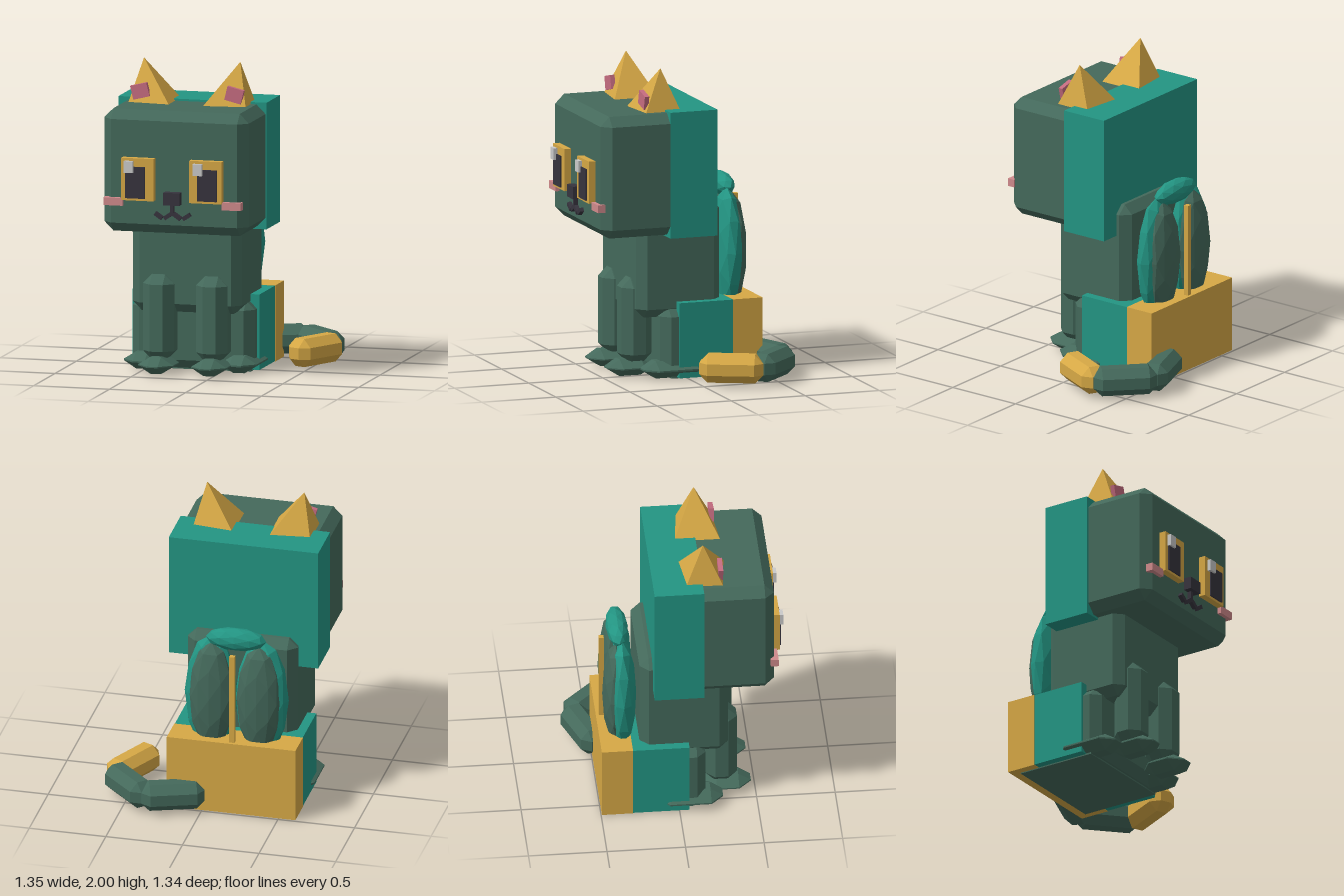
import * as THREE from 'three';
import { ConvexGeometry } from 'three/addons/geometries/ConvexGeometry.js';

const mat = (name, color) => {
  const m = new THREE.MeshStandardMaterial({ color });
  m.name = name;
  return m;
};

// Box with a single 45 degree bevel on every edge
function bevelBox(w, h, d, c, cy = c) {
  const pts = [];
  for (const sx of [-1, 1]) for (const sy of [-1, 1]) for (const sz of [-1, 1]) {
    const x = w / 2, y = h / 2, z = d / 2;
    pts.push(
      new THREE.Vector3(sx * x, sy * (y - cy), sz * (z - c)),
      new THREE.Vector3(sx * (x - c), sy * y, sz * (z - c)),
      new THREE.Vector3(sx * (x - c), sy * (y - cy), sz * z));
  }
  return new ConvexGeometry(pts);
}

export function createModel() {
  const root = new THREE.Group();
  root.name = 'cat';
  const green = mat('dark green fur', 0x44695b);
  const teal = mat('teal', 0x239583);
  const gold = mat('gold', 0xd6a845);
  const earPink = mat('ear pink', 0xc66c80);
  const blush = mat('blush', 0xd08a8c);
  const dark = mat('charcoal', 0x37343e);
  const light = mat('light grey', 0xcacaca);

  const add = (name, geo, material, x = 0, y = 0, z = 0) => {
    const m = new THREE.Mesh(geo, material);
    m.name = name;
    m.position.set(x, y, z);
    root.add(m);
    return m;
  };
  // Boxes given by their limits on each axis
  const box = (name, material, x0, x1, y0, y1, z0, z1, bevel = 0, bevelY = bevel) => {
    const s = [x1 - x0, y1 - y0, z1 - z0];
    const geo = bevel ? bevelBox(...s, bevel, bevelY) : new THREE.BoxGeometry(...s);
    return add(name, geo, material, (x0 + x1) / 2, (y0 + y1) / 2, (z0 + z1) / 2);
  };
  const blob = (name, material, x, y, z, rx, ry, rz) => {
    const geo = new THREE.IcosahedronGeometry(1, 1).scale(rx, ry, rz);
    geo.computeVertexNormals();
    return add(name, geo, material, x, y, z);
  };

  const cx = -0.193; // middle plane of the body

  // Head and the block behind it
  box('head', green, -0.664, 0.288, 0.945, 1.73, 0.0, 0.6, 0.06);
  box('headBack', teal, -0.68, 0.295, 0.93, 1.743, -0.166, 0.15);

  // Torso, hips and rear blocks
  box('torso', green, -0.553, 0.165, 0.395, 1.13, -0.246, 0.317, 0.057);
  box('hips', green, -0.595, 0.207, 0.012, 0.46, -0.25, 0.17, 0.057);
  box('belly', green, -0.56, 0.175, 0.002, 0.05, -0.435, 0.1);
  box('hipBlock', teal, -0.611, 0.224, 0.01, 0.495, -0.297, 0.063);
  box('rearBlock', gold, -0.613, 0.227, 0.008, 0.497, -0.496, -0.297);

  for (const s of [-1, 1]) {
    const side = s < 0 ? 'right' : 'left';
    const X = (d) => cx + s * d;
    const mirrored = (name, material, a, b, ...rest) =>
      box(side + name, material, Math.min(X(a), X(b)), Math.max(X(a), X(b)), ...rest);

    // Legs and paws
    mirrored('FrontLeg', green, 0.072, 0.278, 0.09, 0.64, 0.18, 0.383, 0.06);
    mirrored('FrontPaw', green, 0.06, 0.29, 0.01, 0.118, 0.17, 0.472, 0.08, 0.05);
    mirrored('BackPaw', green, 0.2, 0.437, 0.008, 0.118, -0.14, 0.282, 0.08, 0.05);

    // Ears: leaning pyramids with an inner patch
    const ear = [[0.317, 2.0, 0.157], [0.385, 1.72, 0.04], [0.108, 1.72, 0.008],
      [0.106, 1.72, 0.312], [0.388, 1.72, 0.282]];
    add(side + 'Ear', new ConvexGeometry(
      ear.map(([x, y, z]) => new THREE.Vector3(X(x), y, z))), gold);
    const patch = add(side + 'InnerEar', new THREE.BoxGeometry(0.11, 0.09, 0.03),
      earPink, X(0.31), 1.803, 0.267);
    patch.rotation.z = -s * 0.24;

    // Eyes and cheeks
    mirrored('EyeFrame', gold, 0.118, 0.33, 1.16, 1.432, 0.59, 0.645);
    mirrored('Pupil', dark, 0.172, 0.301, 1.175, 1.378, 0.646, 0.655);
    mirrored('Cheek', blush, 0.327, 0.452, 1.12, 1.17, 0.577, 0.627);
    const hx = s < 0 ? -0.47 : -0.016;
    box(side + 'EyeGlint', light, hx - 0.03, hx + 0.03, 1.34, 1.415, 0.646, 0.67);

    // Mouth strokes
    for (const [d, tilt] of [[0.03, -0.6], [0.092, 0.6]]) {
      const stroke = add(side + 'Mouth', new THREE.BoxGeometry(0.056, 0.026, 0.03),
        dark, X(d), 1.066, 0.612);
      stroke.rotation.z = s * tilt;
    }

    // Folded wings with a dark shell
    blob(side + 'Wing', teal, X(0.165), 0.77, -0.345, 0.175, 0.41, 0.092);
    blob(side + 'WingShell', green, X(0.155), 0.77, -0.383, 0.148, 0.375, 0.086);
  }

  // Nose
  box('nose', dark, -0.246, -0.138, 1.14, 1.22, 0.59, 0.652);
  box('noseStem', dark, -0.205, -0.183, 1.07, 1.14, 0.595, 0.627);

  // Wing top and centre rod
  blob('wingCap', teal, cx, 1.174, -0.362, 0.198, 0.076, 0.071);
  box('wingRod', gold, -0.21, -0.175, 0.49, 1.1, -0.477, -0.445);

  // Tail: three bevelled segments, each from one (x, z) point to the next
  const tail = [
    [-0.01, -0.468, 0.37, -0.606, green],
    [0.33, -0.613, 0.62, -0.327, green],
    [0.613, -0.363, 0.436, 0.005, gold]];
  tail.forEach(([x0, z0, x1, z1, material], i) => {
    const dx = x1 - x0, dz = z1 - z0;
    const seg = add('tailSegment' + (i + 1), bevelBox(0.18, 0.18, Math.hypot(dx, dz), 0.053),
      material, (x0 + x1) / 2, 0.116, (z0 + z1) / 2);
    seg.rotation.y = Math.atan2(dx, dz);
  });

  return root;
}
